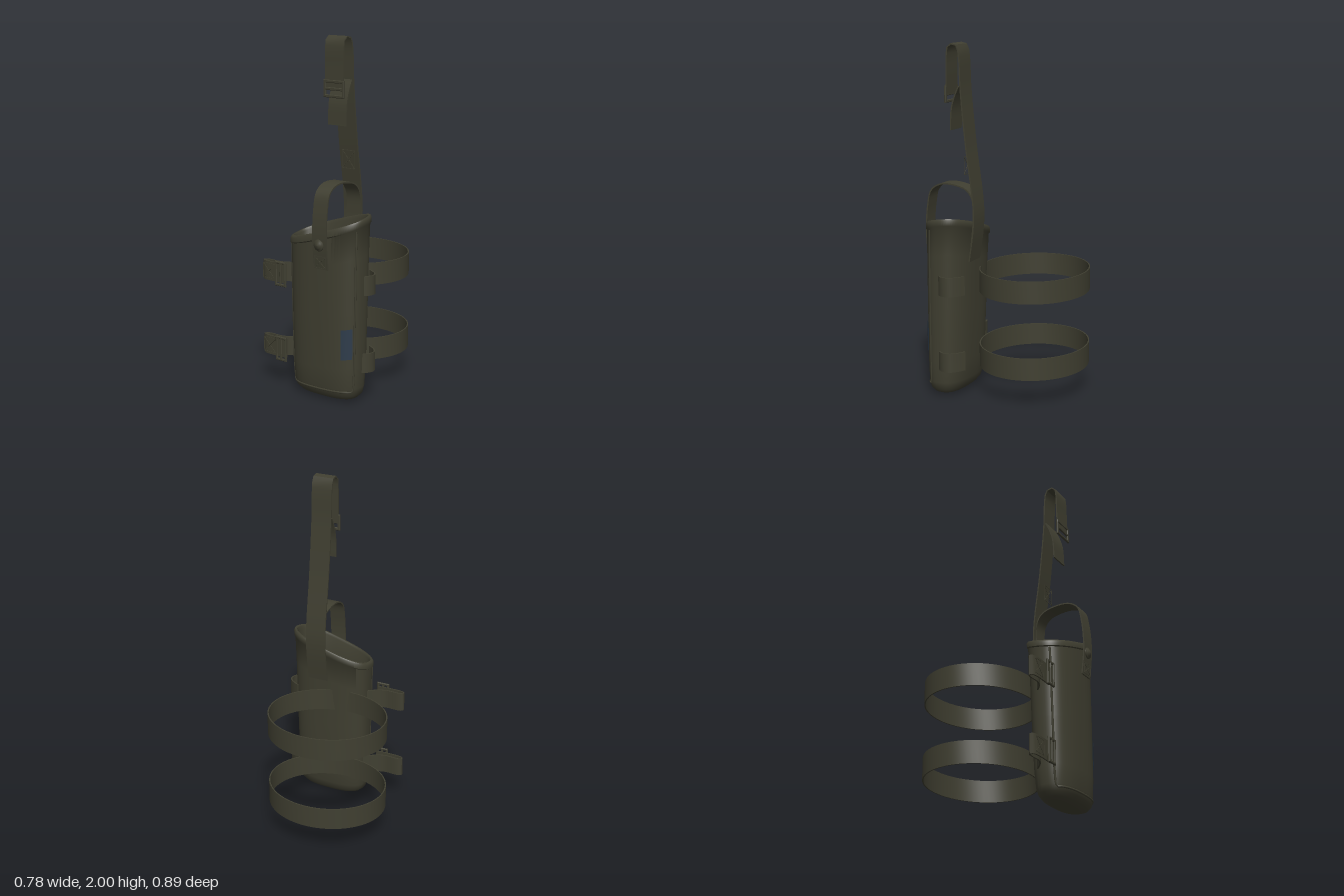
import * as THREE from 'three';
import { toCreasedNormals } from 'three/addons/utils/BufferGeometryUtils.js';

const olive = new THREE.MeshStandardMaterial({ color: 0x403f31 });
olive.name = 'olive fabric';
const blue = new THREE.MeshStandardMaterial({ color: 0x2d3b4a, side: THREE.DoubleSide });
blue.name = 'blue label';

const V = (x, y, z) => new THREE.Vector3(x, y, z);

// Skin a list of equal-length closed rings
function loft(rings, { closed = true, caps = false, crease = 0.8 } = {}) {
  const n = rings[0].length, index = [];
  const last = closed ? n : n - 1;
  for (let r = 0; r < rings.length - 1; r++) {
    for (let i = 0; i < last; i++) {
      const a = r * n + i, b = r * n + (i + 1) % n, c = a + n, d = b + n;
      index.push(a, c, b, b, c, d);
    }
  }
  if (caps) {
    const e = (rings.length - 1) * n;
    index.push(0, 1, 2, 0, 2, 3, e, e + 2, e + 1, e, e + 3, e + 2);
  }
  const geo = new THREE.BufferGeometry().setFromPoints(rings.flat());
  geo.setIndex(index);
  return toCreasedNormals(geo, crease);
}

// Flat webbing swept along a smooth path; its width runs along a fixed axis
function ribbon(points, axis, width, thick = 0.008, closed = false) {
  const curve = new THREE.CatmullRomCurve3(points, closed, 'centripetal');
  const rings = [], steps = closed ? 72 : 48;
  for (let i = 0; i <= steps; i++) {
    const p = curve.getPointAt(i / steps);
    const n = curve.getTangentAt(i / steps).cross(axis).normalize();
    rings.push([[1, -1], [1, 1], [-1, 1], [-1, -1]].map(([s, t]) =>
      p.clone().addScaledVector(n, s * thick / 2).addScaledVector(axis, t * width / 2)));
  }
  return loft(rings, { caps: !closed });
}

// Pouch profile: height fraction, left x, right x, back z, front z
const OUTER = [
  [0, 0.129, 0.131, 0.279, 0.281],
  [0.004, -0.01, 0.27, 0.235, 0.33],
  [0.015, -0.05, 0.315, 0.21, 0.37],
  [0.04, -0.075, 0.342, 0.19, 0.39],
  [0.08, -0.085, 0.35, 0.178, 0.4],
  [0.2, -0.092, 0.355, 0.168, 0.404],
  [0.5, -0.1, 0.36, 0.158, 0.405],
  [0.8, -0.106, 0.364, 0.15, 0.405],
  [0.955, -0.11, 0.367, 0.142, 0.403],
  [0.962, -0.117, 0.373, 0.136, 0.409],
  [0.99, -0.118, 0.374, 0.136, 0.408],
  [1, -0.112, 0.369, 0.142, 0.402],
];
const INNER = [
  [1, -0.1, 0.357, 0.154, 0.39],
  [0.985, -0.093, 0.35, 0.161, 0.384],
  [0.8, -0.09, 0.347, 0.168, 0.387],
  [0.2, -0.075, 0.337, 0.186, 0.387],
  [0.07, -0.055, 0.32, 0.21, 0.37],
  [0.045, 0.0, 0.26, 0.24, 0.33],
  [0.04, 0.129, 0.131, 0.279, 0.281],
];

// Point on a rounded oblong section, with the mouth cut on a slant
function sectionPoint([f, xl, xr, zb, zf], a, grow = 0) {
  const round = t => Math.sign(t) * Math.abs(t) ** 0.77;
  const x = (xl + xr) / 2 + ((xr - xl) / 2 + grow) * round(Math.cos(a));
  const z = (zb + zf) / 2 + ((zf - zb) / 2 + grow) * round(Math.sin(a));
  return V(x, f * (0.915 + (x + 0.115) * 0.3 - (z - 0.14) * 0.16), z);
}
function onPouch(f, deg, grow) {
  const i = Math.max(1, OUTER.findIndex(r => r[0] >= f));
  const lo = OUTER[i - 1], hi = OUTER[i], t = (f - lo[0]) / (hi[0] - lo[0]);
  return sectionPoint(lo.map((v, k) => v + (hi[k] - v) * t), THREE.MathUtils.degToRad(deg), grow);
}

// Rectangular buckle frame with a centre bar
function buckle(w, h, bar, barVertical) {
  const rect = (T, x0, y0, x1, y1) => new T([
    new THREE.Vector2(x0, y0), new THREE.Vector2(x1, y0),
    new THREE.Vector2(x1, y1), new THREE.Vector2(x0, y1)]);
  const s = rect(THREE.Shape, -w / 2, -h / 2, w / 2, h / 2);
  const x = w / 2 - bar, y = h / 2 - bar, m = bar / 2;
  if (barVertical) s.holes.push(rect(THREE.Path, -x, -y, -m, y), rect(THREE.Path, m, -y, x, y));
  else s.holes.push(rect(THREE.Path, -x, -y, x, -m), rect(THREE.Path, -x, m, x, y));
  const geo = new THREE.ExtrudeGeometry(s, {
    depth: 0.006, bevelThickness: 0.003, bevelSize: 0.003, bevelOffset: -0.003, bevelSegments: 1 });
  return geo.translate(0, 0, -0.003);
}

export function createModel() {
  const model = new THREE.Group();
  model.name = 'holsterPouch';
  const add = (name, geo, mat = olive, parent = model) => {
    const m = new THREE.Mesh(geo, mat);
    m.name = name;
    parent.add(m);
    return m;
  };
  // Sewn box with a cross inside
  const stitching = (name, x, y, z, w, h) => {
    const g = new THREE.Group();
    g.name = name;
    g.position.set(x, y, z);
    const d = Math.hypot(w, h), tilt = Math.atan2(h, w);
    [[0, h / 2, w, 0], [0, -h / 2, w, 0], [w / 2, 0, h, Math.PI / 2], [-w / 2, 0, h, Math.PI / 2],
      [0, 0, d, tilt], [0, 0, d, -tilt]].forEach(([px, py, len, rot]) => {
      const bar = add('stitch', new THREE.BoxGeometry(len, 0.003, 0.002), olive, g);
      bar.position.set(px, py, 0);
      bar.rotation.z = rot;
    });
    model.add(g);
  };
  const X = V(1, 0, 0), Y = V(0, 1, 0);

  // Hollow pouch, outside then inside
  const around = [...Array(72).keys()].map(i => i / 72 * Math.PI * 2);
  add('pouch', loft([...OUTER, ...INNER].map(row => around.map(a => sectionPoint(row, a)))));

  // Piping around the front panel
  const seam = [];
  for (let f = 0.95; f > 0.1; f -= 0.1) seam.push(onPouch(f, 21, 0));
  for (let a = 25; a <= 155; a += 10) seam.push(onPouch(0.065, a, 0));
  for (let f = 0.15; f < 0.96; f += 0.1) seam.push(onPouch(f, 159, 0));
  add('panelPiping', new THREE.TubeGeometry(new THREE.CatmullRomCurve3(seam), 120, 0.006, 6));

  // Blue label on the front corner
  const label = [];
  for (let i = 0; i <= 4; i++) {
    label.push([...Array(9).keys()].map(k => onPouch(0.255 + i * 0.0425, 27 + k * 3.2, 0.005)));
  }
  add('label', loft(label, { closed: false }), blue);

  // Long hanging strap, folded over at the top, with a loose tail
  const strapPath = list => list.map(([z, y]) => V(0.168, y, z));
  add('hangingStrap', ribbon(strapPath([[0.15, 0.78], [0.125, 0.95], [0.12, 1.05], [0.13, 1.17], [0.165, 1.42],
    [0.198, 1.75], [0.207, 1.93], [0.22, 1.985], [0.245, 1.996], [0.272, 1.988], [0.283, 1.94],
    [0.285, 1.85], [0.288, 1.72]]), X, 0.125));
  add('strapTail', ribbon(strapPath([[0.21, 1.765], [0.235, 1.71], [0.255, 1.64], [0.262, 1.52]]), X, 0.123));
  add('strapBuckle', buckle(0.142, 0.095, 0.016, false)).position.set(0.168, 1.718, 0.29);
  stitching('strapStitching', 0.18, 1.325, 0.18, 0.085, 0.1);

  // Carry loop over the mouth, closed by a snap
  add('carryLoop', ribbon([[0.14, 0.87], [0.125, 1.03], [0.13, 1.13], [0.165, 1.185], [0.25, 1.212],
    [0.34, 1.208], [0.395, 1.17], [0.418, 1.08], [0.428, 0.95], [0.424, 0.86], [0.412, 0.755]]
    .map(([z, y]) => V(0.176, y, z)), X, 0.095));
  stitching('loopStitching', 0.176, 0.795, 0.424, 0.08, 0.065);
  const snap = new THREE.LatheGeometry([[0, 0.018], [0.016, 0.016], [0.02, 0.009], [0.03, 0.008],
    [0.033, 0.003], [0.033, -0.01]].map(p => new THREE.Vector2(...p)).reverse(), 24);
  add('snap', snap.rotateX(Math.PI / 2)).position.set(0.172, 0.89, 0.428);

  // Upper and lower leg straps
  [['upper', 0.66], ['lower', 0.22]].forEach(([level, y]) => {
    const ring = [...Array(24).keys()].map(i => {
      const a = i / 24 * Math.PI * 2;
      return V(-0.04 + 0.346 * Math.cos(a), y, -0.132 + 0.306 * Math.sin(a));
    });
    add(level + 'LegLoop', ribbon(ring, Y, 0.128, 0.007, true));
    const path = list => list.map(([x, z]) => V(x, y, z));
    add(level + 'BuckleStrap', ribbon(path([[0.02, 0.175], [-0.1, 0.255], [-0.15, 0.292], [-0.2, 0.312],
      [-0.28, 0.311], [-0.305, 0.318], [-0.308, 0.332], [-0.285, 0.343], [-0.2, 0.346], [-0.135, 0.343]]),
    Y, 0.112));
    add(level + 'SideTab', ribbon(path([[0.302, 0.142], [0.34, 0.163], [0.375, 0.195], [0.383, 0.225],
      [0.372, 0.258], [0.32, 0.305]]), Y, 0.11));
    add(level + 'Buckle', buckle(0.078, 0.142, 0.014, true)).position.set(-0.157, y, 0.366);
    stitching(level + 'Stitching', -0.255, y, 0.352, 0.085, 0.085);
  });

  return model;
}
